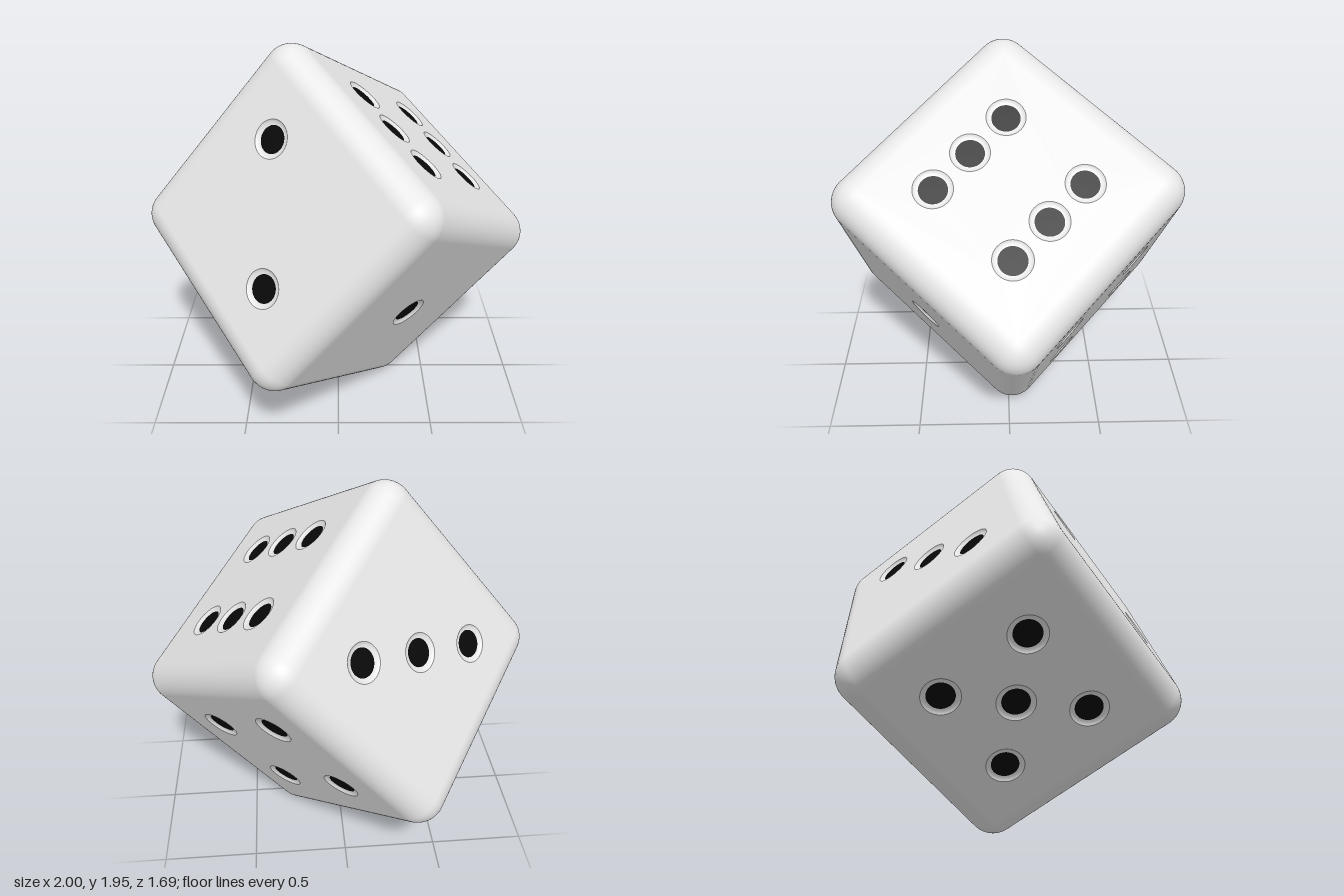
import * as THREE from 'three';
import { RoundedBoxGeometry } from 'three/addons/geometries/RoundedBoxGeometry.js';

const HALF = 0.638;    // centre to face
const ROUND = 0.137;   // edge radius
const STEP = 0.25;     // pip spacing
const RIM = 0.096;     // dimple radius
const DOT = 0.07;      // black floor radius
const DEPTH = 0.012;   // dimple depth

const ivory = new THREE.MeshStandardMaterial({ color: 0xe7e7e7 });
ivory.name = 'offWhite';
const black = new THREE.MeshStandardMaterial({ color: 0x080808 });
black.name = 'black';

// Rounded edges and corners: a rounded box without its six flat centres
function edgeShell() {
  const box = new RoundedBoxGeometry(2 * HALF, 2 * HALF, 2 * HALF, 8, ROUND);
  const src = box.index ? box.toNonIndexed() : box;
  const p = src.attributes.position, n = src.attributes.normal;
  const pos = [], nor = [];
  for (let i = 0; i < p.count; i += 3) {
    const c = [0, 0, 0];
    for (let k = i; k < i + 3; k++) {
      c[0] += p.getX(k) / 3; c[1] += p.getY(k) / 3; c[2] += p.getZ(k) / 3;
    }
    if (Math.max(...c.map(Math.abs)) > HALF - 1e-5) continue;
    for (let k = i; k < i + 3; k++) {
      pos.push(p.getX(k), p.getY(k), p.getZ(k));
      nor.push(n.getX(k), n.getY(k), n.getZ(k));
    }
  }
  const g = new THREE.BufferGeometry();
  g.setAttribute('position', new THREE.Float32BufferAttribute(pos, 3));
  g.setAttribute('normal', new THREE.Float32BufferAttribute(nor, 3));
  return g;
}

// Shared dimple wall and floor, facing +z
const wallGeometry = new THREE.LatheGeometry([
  new THREE.Vector2(RIM, 0),
  new THREE.Vector2(RIM - 0.006, -0.005),
  new THREE.Vector2(RIM - 0.015, -0.010),
  new THREE.Vector2(DOT, -DEPTH),
], 40).rotateX(Math.PI / 2);
const floorGeometry = new THREE.CircleGeometry(DOT, 40);

function addMesh(parent, name, geometry, material, x = 0, y = 0, z = 0) {
  const mesh = new THREE.Mesh(geometry, material);
  mesh.name = name;
  mesh.position.set(x, y, z);
  parent.add(mesh);
}

// One flat face with round holes, each filled by a dimple
function makeFace(name, pips) {
  const face = new THREE.Group();
  face.name = name;
  const s = HALF - ROUND;
  const panel = new THREE.Shape();
  panel.moveTo(-s, -s).lineTo(s, -s).lineTo(s, s).lineTo(-s, s).closePath();
  for (const [i, j] of pips) {
    const x = i * STEP, y = j * STEP;
    panel.holes.push(new THREE.Path().absarc(x, y, RIM, 0, Math.PI * 2, true));
    addMesh(face, 'dimpleWall', wallGeometry, ivory, x, y, HALF);
    addMesh(face, 'pip', floorGeometry, black, x, y, HALF - DEPTH);
  }
  addMesh(face, 'facePanel', new THREE.ShapeGeometry(panel, 20), ivory, 0, 0, HALF);
  return face;
}

export function createModel() {
  const model = new THREE.Group();
  model.name = 'die';
  const cube = new THREE.Group();
  cube.name = 'tiltedCube';
  model.add(cube);

  addMesh(cube, 'roundedEdges', edgeShell(), ivory);

  const Q = Math.PI / 2;
  const four = [[-1, -1], [1, -1], [-1, 1], [1, 1]];
  const diagonal = [[-1, 1], [1, -1]];
  // name, pip grid positions, x turn, y turn
  const faces = [
    ['faceOne', [[0, 0]], 0, Q],
    ['faceTwo', diagonal, 0, 0],
    ['faceThree', [...diagonal, [0, 0]], 0, -Q],
    ['faceFour', four, 0, 2 * Q],
    ['faceFive', [...four, [0, 0]], Q, 0],
    ['faceSix', [...four, [0, -1], [0, 1]], -Q, 0],
  ];
  for (const [name, pips, rx, ry] of faces) {
    const face = makeFace(name, pips);
    face.rotation.set(rx, ry, 0);
    cube.add(face);
  }

  // Tilt: the six faces up and to +x, the one and two faces towards the front
  const up = new THREE.Vector3(0.637, 0.771, 0).normalize();
  const one = new THREE.Vector3(0.771 * 0.727, -0.637 * 0.727, 0.687).normalize();
  const two = new THREE.Vector3().crossVectors(one, up).normalize();
  cube.quaternion.setFromRotationMatrix(new THREE.Matrix4().makeBasis(one, up, two));
  cube.position.y = 0.975;
  return model;
}
